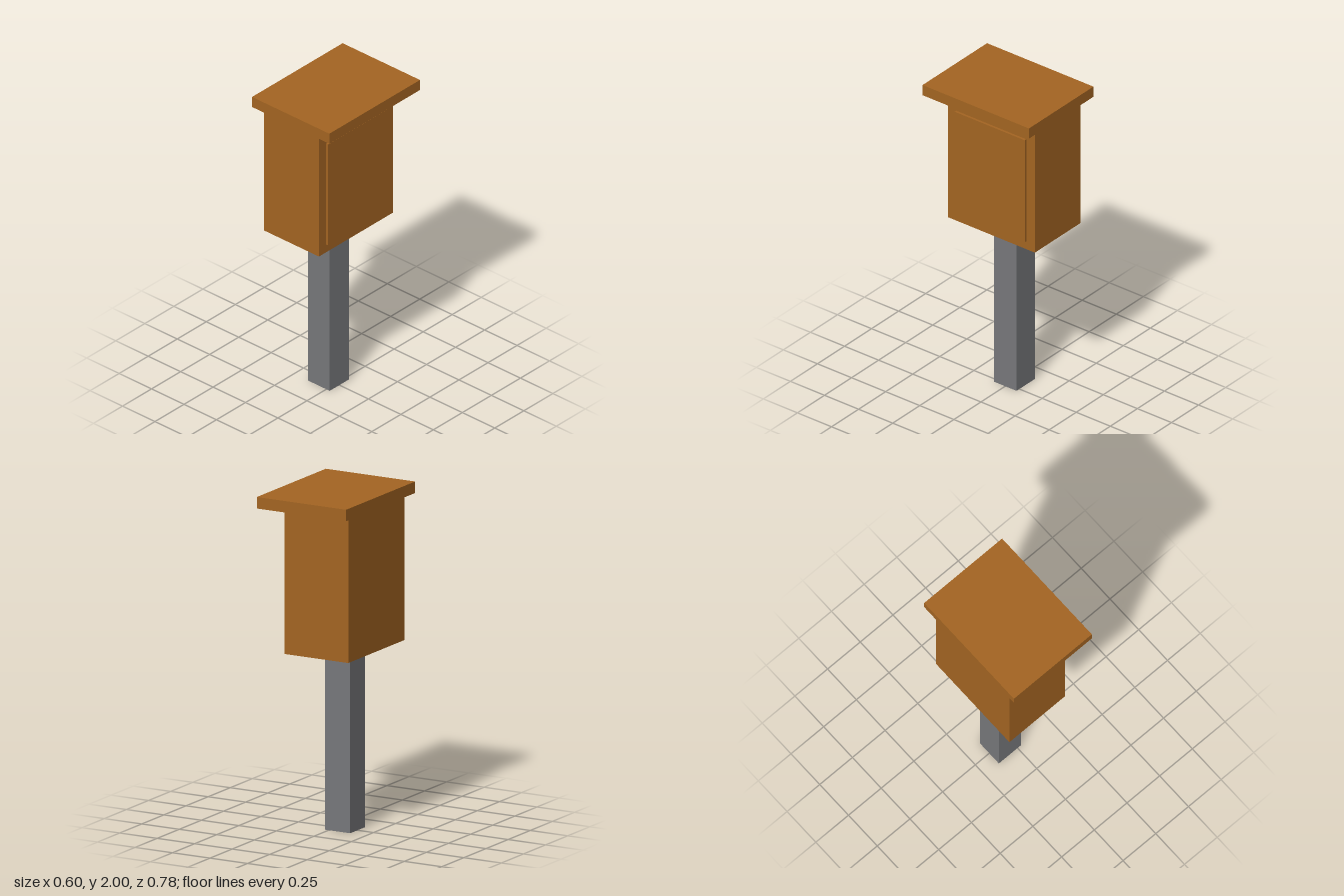
import * as THREE from 'three';

// Box described by its extents along each axis
function slab(name, material, [x0, x1], [y0, y1], [z0, z1]) {
  const mesh = new THREE.Mesh(new THREE.BoxGeometry(x1 - x0, y1 - y0, z1 - z0), material);
  mesh.position.set((x0 + x1) / 2, (y0 + y1) / 2, (z0 + z1) / 2);
  mesh.name = name;
  return mesh;
}

export function createModel() {
  const wood = new THREE.MeshStandardMaterial({ color: 0xa46522 });
  wood.name = 'brown wood';
  const metal = new THREE.MeshStandardMaterial({ color: 0x77787b });
  metal.name = 'grey metal';

  const model = new THREE.Group();
  model.name = 'postMountedBox';
  model.add(
    // square post, set off-centre under the box
    slab('post', metal, [-0.143, 0.026], [0, 1.074], [-0.083, 0.083]),
    // upright box
    slab('box', wood, [-0.27, 0.154], [1.074, 1.922], [-0.319, 0.319]),
    // raised door on the left side
    slab('door', wood, [0.154, 0.169], [1.127, 1.81], [-0.257, 0.257]),
    // overhanging lid, floating just above the box
    slab('roof', wood, [-0.298, 0.298], [1.932, 2], [-0.39, 0.39])
  );
  return model;
}
